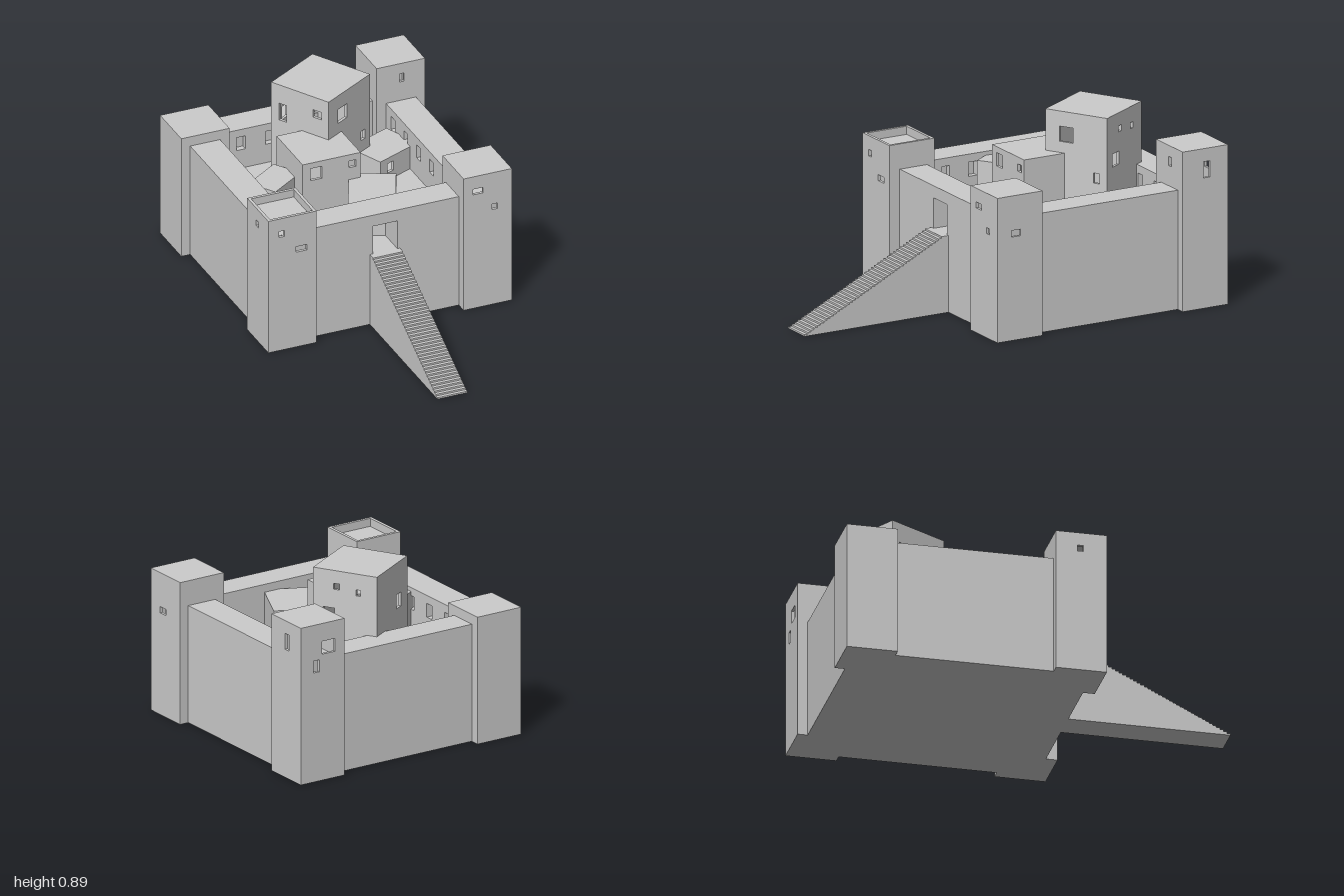
import * as THREE from 'three';

const material = new THREE.MeshStandardMaterial({ color: 0xcccccc, flatShading: true });
const FLOOR = 0.38; // courtyard level
const WALL = 0.59; // top of the curtain walls
const T = 0.015; // thickness of house and tower walls

function add(parent, name, geometry, x = 0, y = 0, z = 0) {
  const mesh = new THREE.Mesh(geometry, material);
  mesh.name = name;
  mesh.position.set(x, y, z);
  parent.add(mesh);
  return mesh;
}

function box(parent, name, x0, x1, y0, y1, z0, z1) {
  return add(parent, name, new THREE.BoxGeometry(x1 - x0, y1 - y0, z1 - z0),
    (x0 + x1) / 2, (y0 + y1) / 2, (z0 + z1) / 2);
}

// Upright slab, outer face at z = 0; holes are [centre, bottom, width, height]
function panel(width, y0, y1, thickness, holes = []) {
  const rect = (shape, x0, b, x1, t) =>
    shape.moveTo(x0, b).lineTo(x1, b).lineTo(x1, t).lineTo(x0, t).closePath();
  const shape = rect(new THREE.Shape(), -width / 2, y0, width / 2, y1);
  for (const [c, b, w, h] of holes) {
    shape.holes.push(rect(new THREE.Path(), c - w / 2, b, c + w / 2, b + h));
  }
  return new THREE.ExtrudeGeometry(shape, { depth: thickness, bevelEnabled: false })
    .translate(0, 0, -thickness);
}

// Hollow block; windows are listed per side: front, left (+x), back, right (-x)
function building(parent, name, { x, z, w, d, y0, y1, turn = 0, windows = [], roofDrop = 0 }) {
  const group = new THREE.Group();
  group.name = name;
  group.position.set(x, 0, z);
  group.rotation.y = turn;
  parent.add(group);
  ['front', 'left', 'back', 'right'].forEach((side, i) => {
    const width = i % 2 ? d - 2 * T : w;
    const reach = (i % 2 ? w : d) / 2;
    const angle = i * Math.PI / 2;
    add(group, side + 'Wall', panel(width, y0, y1, T, windows[i]),
      Math.sin(angle) * reach, 0, Math.cos(angle) * reach).rotation.y = angle;
  });
  const hw = w / 2 - T, hd = d / 2 - T;
  box(group, 'roof', -hw, hw, y1 - roofDrop - T, y1 - roofDrop, -hd, hd);
  box(group, 'floor', -hw, hw, y0, y0 + T, -hd, hd);
}

function buildWalls(root) {
  const walls = new THREE.Group();
  walls.name = 'curtainWalls';
  root.add(walls);
  box(walls, 'courtyardBase', -0.43, 0.43, 0, FLOOR, -0.8, 0.06);
  add(walls, 'gateWall', panel(1.17, 0, WALL, 0.15, [[0, FLOOR, 0.125, 0.15]]), 0, 0, 0.21);
  box(walls, 'backWall', -0.585, 0.585, 0, WALL, -0.95, -0.83);
  // Inner faces carry shallow window recesses
  const row = [-0.3, -0.15, 0, 0.15, 0.3].map((c) => [c, 0.48, 0.045, 0.07]);
  add(walls, 'backInnerFace', panel(1.17, 0, WALL, 0.03, row), 0, 0, -0.8);
  for (const s of [-1, 1]) {
    const side = s > 0 ? 'left' : 'right';
    box(walls, side + 'Wall', s > 0 ? 0.46 : -0.585, s > 0 ? 0.585 : -0.46, 0, WALL, -0.83, 0.06);
    add(walls, side + 'InnerFace', panel(0.86, 0, WALL, 0.03, row), s * 0.43, 0, -0.37)
      .rotation.y = -s * Math.PI / 2;
  }
}

function buildTowers(root) {
  const size = { w: 0.25, d: 0.248, y0: 0 };
  building(root, 'frontRightTower', {
    ...size, x: -0.506, z: 0.143, y1: 0.715, roofDrop: 0.04,
    windows: [
      [[-0.056, 0.615, 0.028, 0.032], [0.047, 0.515, 0.055, 0.03]], [], [],
      [[-0.005, 0.62, 0.03, 0.03]],
    ],
  });
  building(root, 'frontLeftTower', {
    ...size, x: 0.506, z: 0.143, y1: 0.715,
    windows: [
      [[-0.05, 0.617, 0.052, 0.03], [0.036, 0.515, 0.027, 0.03]],
      [[-0.022, 0.512, 0.05, 0.032]],
    ],
  });
  building(root, 'backLeftTower', {
    ...size, x: 0.506, z: -0.875, y1: 0.79,
    windows: [
      [[0.005, 0.69, 0.025, 0.045]],
      [[0.007, 0.645, 0.036, 0.08]],
      [[0.033, 0.635, 0.072, 0.065], [-0.036, 0.55, 0.035, 0.06]],
    ],
  });
  building(root, 'backRightTower', { ...size, x: -0.506, z: -0.875, y1: 0.64 });
}

function buildHouses(root) {
  building(root, 'keep', {
    x: 0.03, z: -0.614, w: 0.335, d: 0.335, y0: FLOOR, y1: 0.89, turn: 0.53,
    windows: [
      [[-0.055, 0.74, 0.072, 0.075], [0.11, 0.56, 0.032, 0.05]],
      [[-0.085, 0.635, 0.06, 0.065], [-0.045, 0.795, 0.03, 0.03], [0.07, 0.78, 0.025, 0.03]],
      [[0.075, 0.66, 0.05, 0.07]],
      [[-0.1, 0.7, 0.042, 0.09], [0.1, 0.78, 0.05, 0.04]],
    ],
  });
  building(root, 'mainHouse', {
    x: -0.09, z: -0.367, w: 0.3, d: 0.305, y0: FLOOR, y1: 0.685,
    windows: [[[-0.08, 0.59, 0.06, 0.065], [0.108, 0.615, 0.036, 0.036]]],
  });
  building(root, 'leftHouse', {
    x: 0.32, z: -0.535, w: 0.26, d: 0.205, y0: FLOOR, y1: 0.5, turn: 0.4,
    windows: [[[-0.06, 0.42, 0.04, 0.05]]],
  });
  building(root, 'gateHouse', {
    x: 0.065, z: -0.09, w: 0.225, d: 0.3, y0: FLOOR, y1: 0.55, turn: -0.43,
  });
  building(root, 'rightHouse', {
    x: -0.33, z: -0.34, w: 0.223, d: 0.152, y0: FLOOR, y1: 0.57, turn: 0.59,
    windows: [[[0, 0.45, 0.04, 0.06]]],
  });
}

// Long flight of shallow steps up to the gate
function buildStairs(root) {
  const steps = 44, start = 1, end = 0.23;
  const profile = new THREE.Shape().moveTo(0.2, 0).lineTo(start, 0);
  for (let i = 0; i < steps; i++) {
    const z = THREE.MathUtils.lerp(start, end, i / steps);
    const next = i === steps - 1 ? 0.2 : THREE.MathUtils.lerp(start, end, (i + 1) / steps);
    const y = FLOOR * (i + 1) / steps;
    profile.lineTo(z, y).lineTo(next, y);
  }
  const geometry = new THREE.ExtrudeGeometry(profile, { depth: 0.155, bevelEnabled: false })
    .translate(0, 0, -0.0775).rotateY(-Math.PI / 2);
  add(root, 'entranceStairs', geometry, -0.002);
}

export function createModel() {
  const root = new THREE.Group();
  root.name = 'fortress';
  buildWalls(root);
  buildTowers(root);
  buildHouses(root);
  buildStairs(root);
  return root;
}
